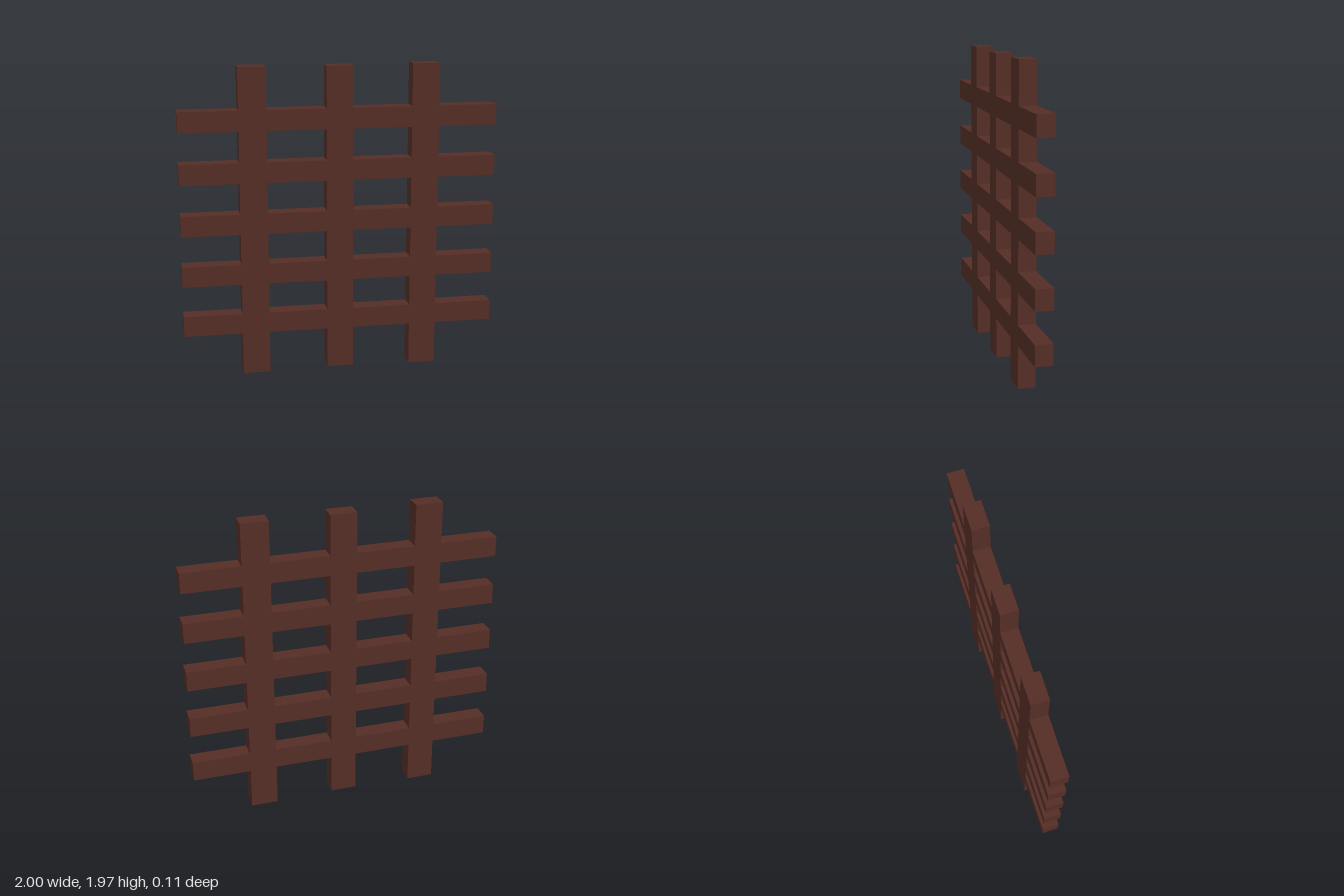
import * as THREE from 'three';

const DEPTH = 0.11;

export function createModel() {
  const group = new THREE.Group();
  const wood = new THREE.MeshStandardMaterial({ color: 0x542d26 });

  function bar(name, width, height, x, y) {
    const mesh = new THREE.Mesh(new THREE.BoxGeometry(width, height, DEPTH), wood);
    mesh.name = name;
    mesh.position.set(x, y, 0);
    group.add(mesh);
  }

  // Upright posts: the middle one is slightly slimmer and shorter
  bar('rightPost', 0.173, 1.965, -0.543, 0.9825);
  bar('middlePost', 0.168, 1.95, 0, 0.985);
  bar('leftPost', 0.173, 1.965, 0.543, 0.9825);

  // Evenly spaced cross rails, flush with the posts
  for (let i = 0; i < 5; i++) {
    bar(`rail${i + 1}`, 2, 0.13, 0, 0.335 + i * 0.325);
  }

  return group;
}
